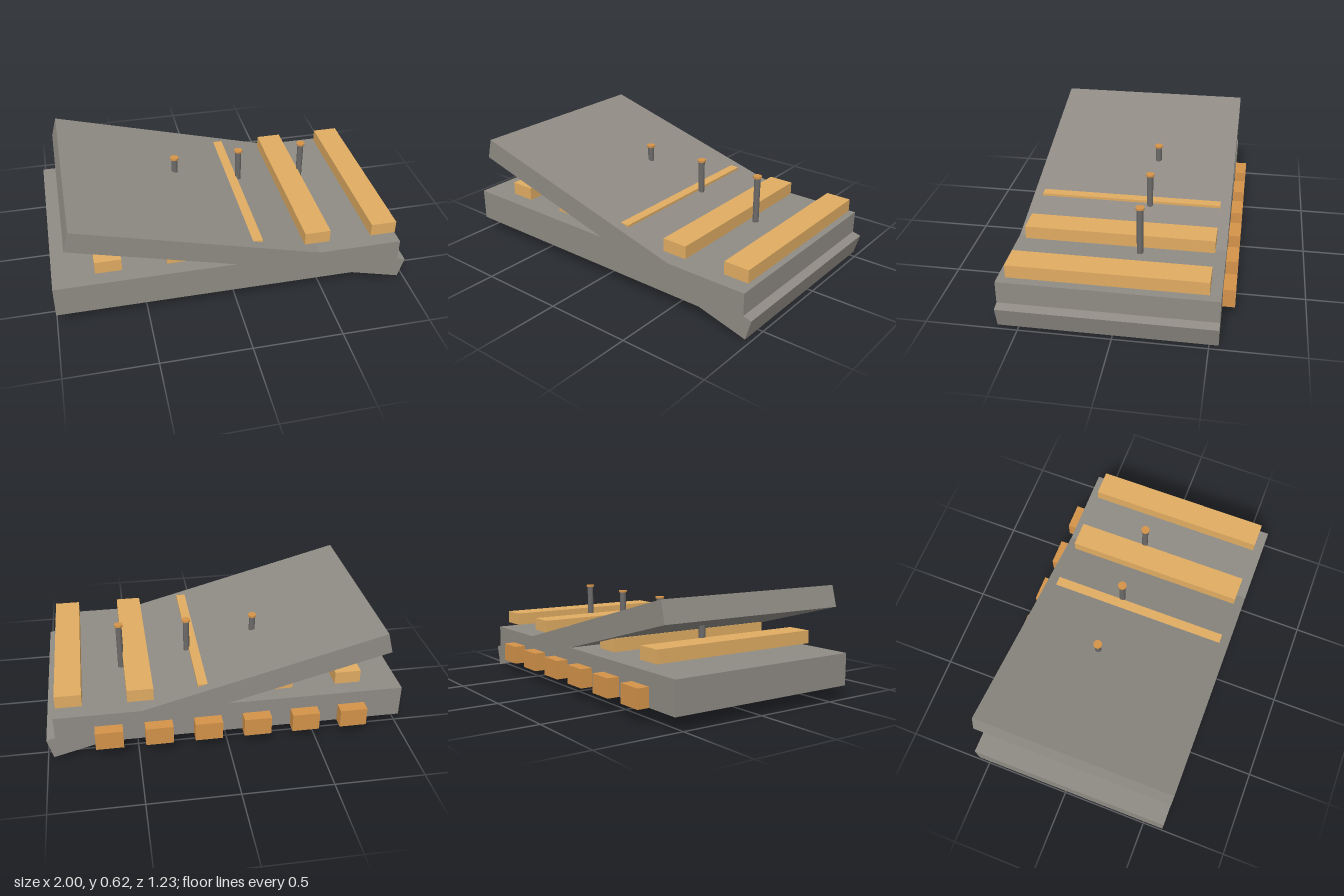
import * as THREE from 'three';

export function createModel() {
  const model = new THREE.Group();
  const mat = (color) => new THREE.MeshStandardMaterial({ color, flatShading: true });
  const concrete = mat(0x8f8b84);
  const timber = mat(0xe0ac62);
  const block = mat(0xd4934a);
  const steel = mat(0x6c6a68);

  const add = (name, geometry, material, x, y, z) => {
    const mesh = new THREE.Mesh(geometry, material);
    mesh.name = name;
    mesh.position.set(x, y, z);
    model.add(mesh);
    return mesh;
  };

  // Two crossing slabs: one level, one tilted about z
  const depth = 1.166, midZ = 0.033;
  add('levelSlab', new THREE.BoxGeometry(1.952, 0.182, depth), concrete, -0.024, 0.169, midZ);
  const ramp = add('tiltedSlab', new THREE.BoxGeometry(1.95, 0.123, depth), concrete, 0.0425, 0.3125, midZ);
  ramp.rotation.z = -Math.PI / 12;

  // Long bars laid front to back, floating just above the level slab
  const bar = new THREE.BoxGeometry(0.146, 0.074, 1.052);
  for (let i = 0; i < 5; i++) add('crossBar' + (i + 1), bar, timber, -0.695 + i * 0.39, 0.323, 0.035);

  // Upright rods with flat caps between the bars
  const rod = new THREE.CylinderGeometry(0.018, 0.018, 0.28, 16);
  const cap = new THREE.CylinderGeometry(0.025, 0.025, 0.011, 16);
  for (let i = 0; i < 4; i++) {
    const x = -0.61 + i * 0.39;
    add('rod' + (i + 1), rod, steel, x, 0.394, -0.083);
    add('rodCap' + (i + 1), cap, block, x, 0.538, -0.083);
  }

  // Row of blocks along the back edge
  const backBlock = new THREE.BoxGeometry(0.153, 0.107, 0.07);
  for (let i = 0; i < 6; i++) add('backBlock' + (i + 1), backBlock, block, -0.708 + i * 0.2735, 0.131, -0.583);

  return model;
}
